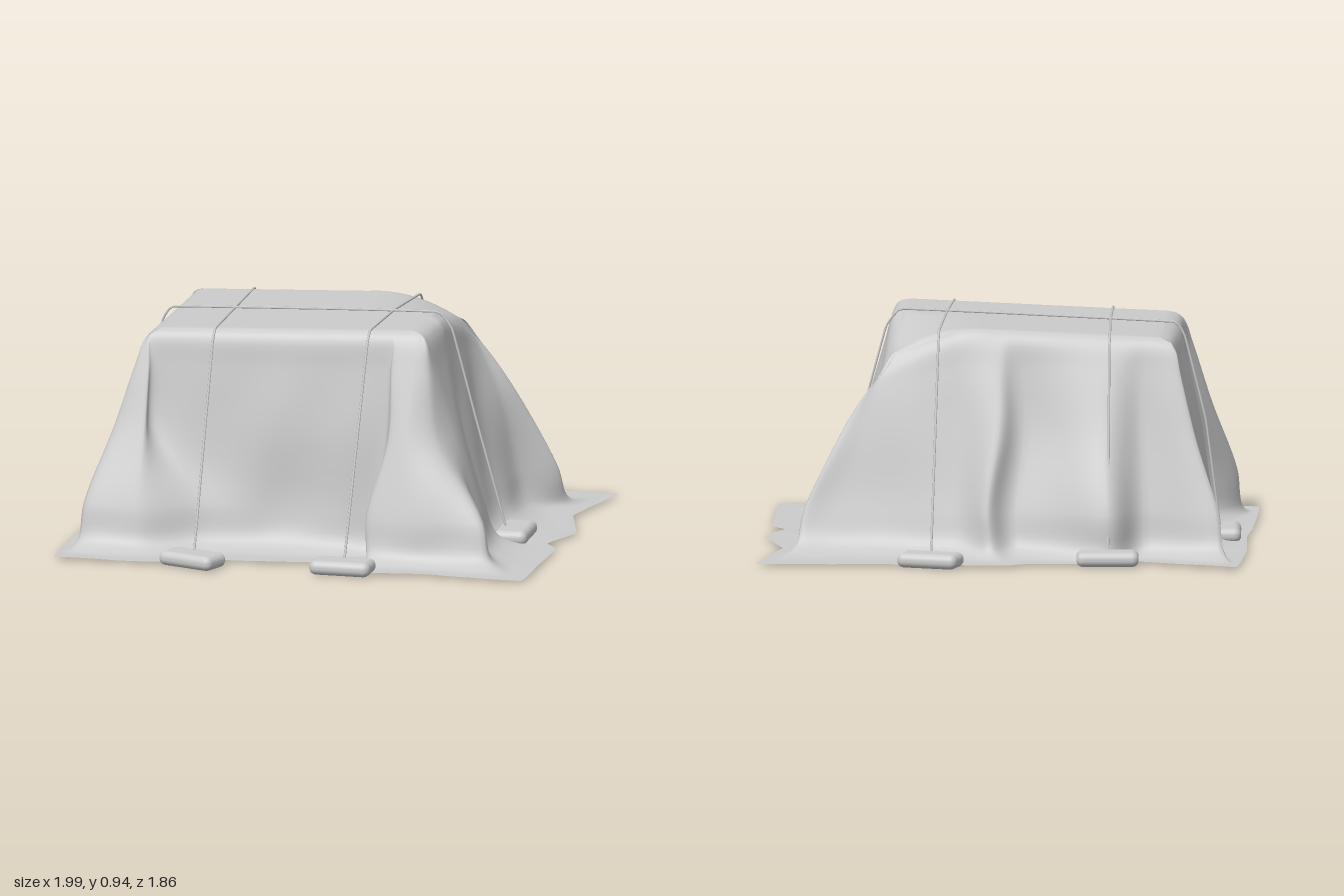
import * as THREE from 'three';
import { RoundedBoxGeometry } from 'three/addons/geometries/RoundedBoxGeometry.js';

const grey = new THREE.MeshStandardMaterial({ color: 0xcccccc });
const cloth = new THREE.MeshStandardMaterial({ color: 0xcccccc, side: THREE.DoubleSide });
const clamp = THREE.MathUtils.clamp;

// Outlines of the cover as x, z pairs: front, right end, back, left end
const MID = [
  -0.15, 0.46, 0.15, 0.46, 0.33, 0.46, 0.36, 0.53, 0.45, 0.54, 0.56, 0.49, 0.61, 0.36,
  0.59, 0.17, 0.56, 0.08, 0.57, -0.20, 0.61, -0.37, 0.67, -0.46, 0.56, -0.475,
  0.20, -0.51, 0.02, -0.56, -0.08, -0.49, -0.42, -0.56, -0.56, -0.49, -0.78, -0.51,
  -0.72, -0.38, -0.78, 0, -0.72, 0.32, -0.80, 0.50, -0.67, 0.53, -0.61, 0.46,
];
const LOW = [
  -0.15, 0.48, 0.15, 0.48, 0.31, 0.49, 0.29, 0.61, 0.52, 0.63, 0.77, 0.61, 0.71, 0.43,
  0.68, 0.17, 0.63, 0.08, 0.64, -0.20, 0.68, -0.40, 0.81, -0.53, 0.67, -0.53,
  0.20, -0.58, 0.06, -0.66, -0.06, -0.57, -0.43, -0.69, -0.58, -0.56, -0.89, -0.60,
  -0.72, -0.41, -0.83, 0, -0.74, 0.36, -0.90, 0.62, -0.67, 0.64, -0.43, 0.54,
];
const HEM = [
  -0.20, 0.72, 0.15, 0.67, 0.28, 0.59, 0.36, 0.81, 0.60, 0.79, 0.99, 0.81, 0.99, 0.50,
  0.99, 0.20, 0.93, 0.11, 1.00, -0.10, 0.91, -0.42, 0.99, -0.85, 0.60, -0.85,
  0.20, -0.85, -0.04, -0.85, -0.10, -0.82, -0.42, -0.78, -0.58, -0.71, -0.97, -0.85,
  -0.99, -0.40, -0.97, 0, -0.98, 0.25, -0.97, 0.83, -0.58, 0.83, -0.33, 0.73,
];

// Height of the covered top, sagging at the back right corner
const topHeight = (x, z) =>
  0.918 + 0.04 * x - 2.5 * Math.max(0, x - 0.1) ** 2 * Math.max(0, -z);

const ring = (pairs, y) =>
  Array.from({ length: pairs.length / 2 }, (_, i) => new THREE.Vector3(pairs[2 * i], y, pairs[2 * i + 1]));
const blend = (a, b, t, y) => a.map((p, i) => {
  const q = p.clone().lerp(b[i], t);
  if (y !== undefined) q.y = y;
  return q;
});

// Draped cover: smooth rings joined by smooth vertical profiles
function coverGeometry(cols = 200, rows = 54) {
  const mid = ring(MID, 0.5), low = ring(LOW, 0.2), hem = ring(HEM, 0.015);
  const edge = mid.map((p) => {
    const x = clamp(p.x, -0.685, 0.485), z = clamp(p.z, -0.41, 0.4);
    return new THREE.Vector3(x, topHeight(x, z) - 0.03, z);
  });
  const inner = edge.map((p) => {
    const x = -0.1 + (p.x + 0.1) * 0.9, z = p.z * 0.9;
    return new THREE.Vector3(x, topHeight(x, z), z);
  });
  const centre = edge.map(() => new THREE.Vector3(-0.1, topHeight(-0.1, 0), 0));
  const shoulder = blend(edge, mid, 0.36);
  shoulder.forEach((p) => { p.y += 0.015; });
  const foot = blend(low, hem, 0.17, 0.06);
  const skirt = blend(low, hem, 0.45, 0.022);
  const levels = [centre, blend(centre, inner, 0.5), inner, edge, shoulder, mid, low, foot, skirt, hem];
  const rings = levels.map((pts) =>
    new THREE.CatmullRomCurve3(pts, true, 'catmullrom', pts === hem ? 0.1 : 0.4));

  const pos = [], index = [];
  for (let j = 0; j < cols; j++) {
    const profile = new THREE.CatmullRomCurve3(rings.map((c) => c.getPoint(j / cols)));
    for (let i = 0; i <= rows; i++) {
      const p = profile.getPoint(i / rows);
      if (i / rows <= 2 / 9) p.y = topHeight(p.x, p.z);
      // soft wrinkles on the walls only
      const w = 0.004 * clamp((0.85 - p.y) * 4, 0, 1) * clamp(p.y * 8, 0, 1);
      p.x += w * Math.sin(p.z * 21 + p.y * 5);
      p.z += w * Math.sin(p.x * 17 - p.y * 4);
      const ripple = 0.004 * Math.sin(p.x * 9) * Math.cos(p.z * 11);
      pos.push(p.x, Math.max(p.y, 0.014 + (p.y < 0.03 ? ripple : 0)), p.z);
    }
  }
  const at = (i, j) => (j % cols) * (rows + 1) + i;
  for (let j = 0; j < cols; j++) {
    for (let i = 0; i < rows; i++) {
      const a = at(i, j), b = at(i + 1, j), c = at(i, j + 1), d = at(i + 1, j + 1);
      if (i > 0) index.push(a, b, c);
      index.push(b, d, c);
    }
  }
  const g = new THREE.BufferGeometry();
  g.setAttribute('position', new THREE.Float32BufferAttribute(pos, 3));
  g.setIndex(index);
  g.computeVertexNormals();
  return g;
}

function addMesh(parent, name, geometry, material = grey) {
  const m = new THREE.Mesh(geometry, material);
  m.name = name;
  parent.add(m);
  return m;
}

export function createModel() {
  const model = new THREE.Group();
  model.name = 'coveredCrate';
  addMesh(model, 'cover', coverGeometry(), cloth);

  // Ropes pulled over the top, straight down to the weights
  const ropes = {
    leftHandRope: [[-0.39, 0.05, 0.79], [-0.4, 0.85, 0.435], [-0.4, 0.905, 0.385], [-0.41, 0.909, 0],
      [-0.43, 0.9, -0.4], [-0.43, 0.85, -0.445], [-0.44, 0.05, -0.72]],
    rightHandRope: [[0.24, 0.05, 0.78], [0.25, 0.87, 0.435], [0.25, 0.93, 0.38], [0.26, 0.935, 0],
      [0.27, 0.915, -0.39], [0.27, 0.86, -0.445], [0.28, 0.05, -0.8]],
    lengthwiseRope: [[-0.86, 0.05, 0], [-0.8, 0.5, 0.005], [-0.715, 0.84, 0.01], [-0.67, 0.9, 0.01],
      [0, 0.928, 0.02], [0.45, 0.942, 0.03], [0.51, 0.87, 0.03], [0.61, 0.5, 0.03], [0.74, 0.05, 0.04]],
  };
  for (const [name, pts] of Object.entries(ropes)) {
    const path = new THREE.CatmullRomCurve3(pts.map((p) => new THREE.Vector3(...p)), false, 'catmullrom', 0.08);
    addMesh(model, name, new THREE.TubeGeometry(path, 120, 0.005, 6));
  }

  // Pillow-like weights lying on the hem: x, z, turn about y
  const weightGeometry = new RoundedBoxGeometry(0.255, 0.06, 0.14, 4, 0.028);
  const weights = [
    [-0.39, 0.82, -0.36], [0.24, 0.81, -0.02], [-0.44, -0.755, 0.06],
    [0.28, -0.84, -0.26], [-0.875, 0, Math.PI / 2 + 0.05], [0.775, 0.03, Math.PI / 2 + 0.04],
  ];
  weights.forEach(([x, z, turn], i) => {
    const m = addMesh(model, `weight${i + 1}`, weightGeometry);
    m.position.set(x, 0.035, z);
    m.rotation.y = turn;
  });
  return model;
}
